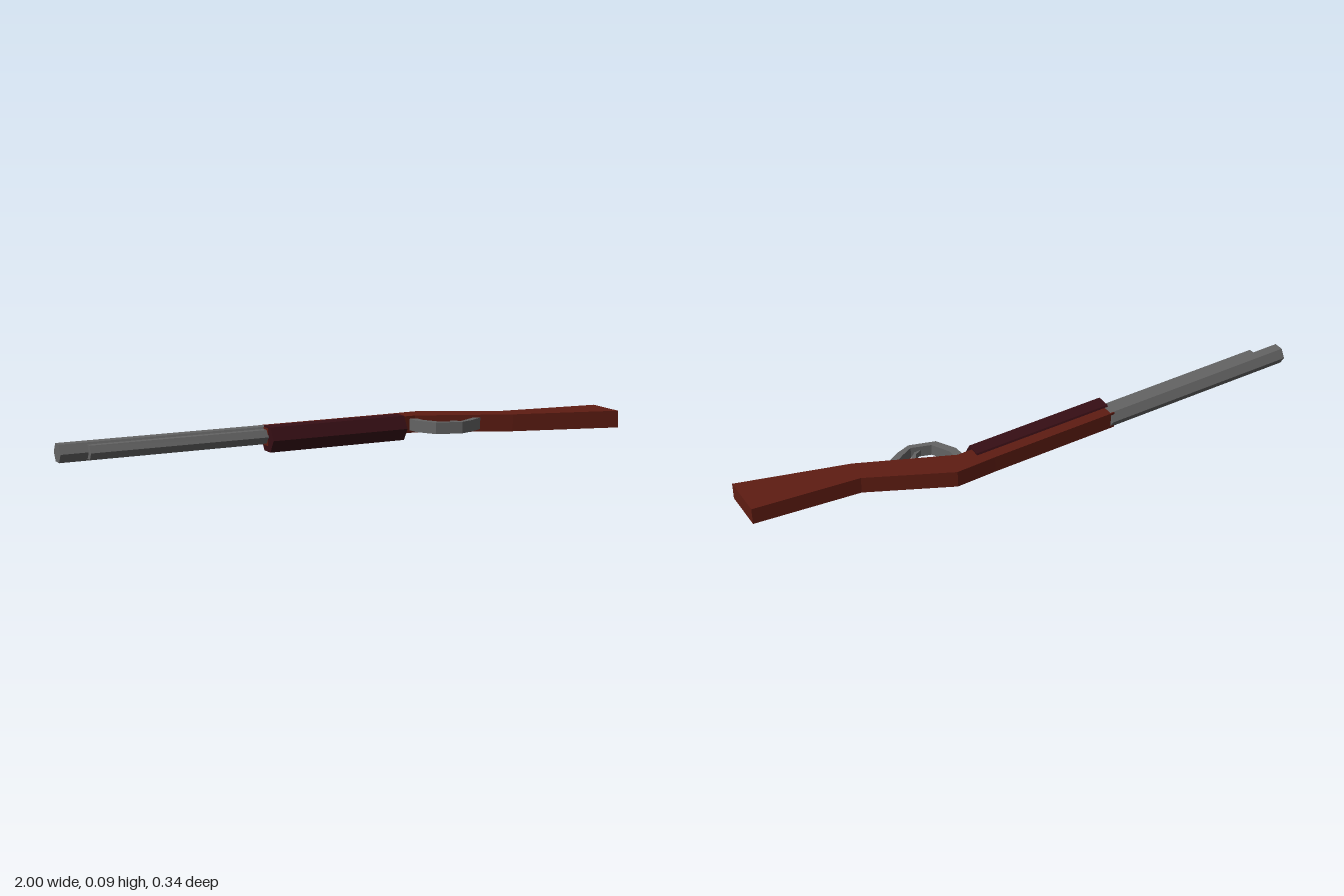
import * as THREE from 'three';

const material = (color) => new THREE.MeshStandardMaterial({ color, flatShading: true });

export function createModel() {
  const group = new THREE.Group();
  const metal = material(0x646464);
  const wood = material(0x5e1c12);
  const darkWood = material(0x360e14);

  const add = (name, geometry, mat) => {
    const mesh = new THREE.Mesh(geometry, mat);
    mesh.name = name;
    group.add(mesh);
  };

  // Hexagonal bar along x, flat faces up and down
  const hexBar = (name, radius, x0, x1, y, z, mat) => {
    const g = new THREE.CylinderGeometry(radius, radius, x1 - x0, 6);
    g.rotateZ(Math.PI / 2);
    g.translate((x0 + x1) / 2, y, z);
    add(name, g, mat);
  };

  // Slab from an outline of [x, z] points, between heights y0 and y1
  const slab = (name, points, y0, y1, mat) => {
    const shape = new THREE.Shape(points.map(([x, z]) => new THREE.Vector2(x, z)));
    const g = new THREE.ExtrudeGeometry(shape, { depth: y1 - y0, bevelEnabled: false });
    g.rotateX(Math.PI / 2);
    g.translate(0, y1, 0);
    add(name, g, mat);
  };

  // Barrel and the shorter magazine tube under it
  hexBar('barrel', 0.035, -1, -0.26, 0.051, -0.134, metal);
  hexBar('magazineTube', 0.027, -0.905, -0.26, 0.051, -0.103, metal);

  // Sliding fore grip
  hexBar('foreGrip', 0.05, -0.273, 0.246, 0.0435, -0.089, darkWood);

  // Receiver running into the bent shoulder stock
  slab('stock', [
    [-0.275, -0.156], [0.2, -0.156], [0.345, -0.16], [0.63, -0.023], [1, 0.017],
    [1, 0.168], [0.62, 0.06], [0.3, -0.08], [-0.275, -0.08],
  ], 0.02, 0.081, wood);

  // Faceted trigger guard: outer edge, then inner edge back
  slab('triggerGuard', [
    [0.276, -0.09], [0.28, -0.035], [0.32, 0.033], [0.41, 0.061], [0.46, 0.044], [0.515, 0.012],
    [0.49, 0.0], [0.45, 0.024], [0.41, 0.044], [0.343, 0.022], [0.308, -0.04], [0.304, -0.09],
  ], 0.03, 0.071, metal);

  // Curved trigger
  slab('trigger', [
    [0.412, -0.04], [0.417, -0.005], [0.405, 0.015], [0.38, 0.028],
    [0.405, 0.027], [0.425, 0.01], [0.437, -0.02], [0.437, -0.04],
  ], 0.04, 0.062, metal);

  return group;
}
